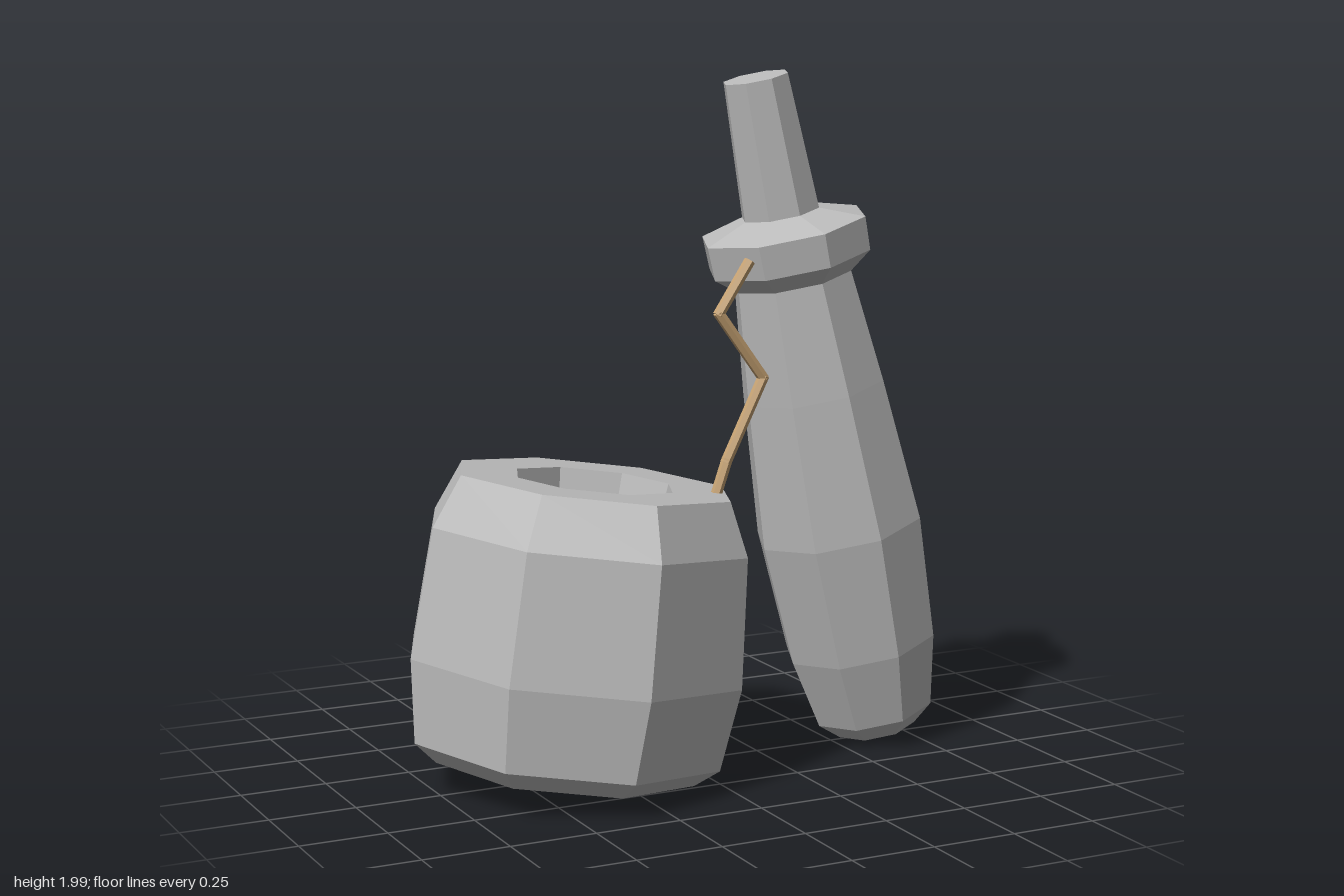
import * as THREE from 'three';

const stone = new THREE.MeshStandardMaterial({ color: 0xbababa });
stone.name = 'grey stone';
const twine = new THREE.MeshStandardMaterial({ color: 0xc8a474 });
twine.name = 'tan twine';

// Faceted mesh: every face gets its own normal
function facet(name, geometry, material) {
  const g = geometry.toNonIndexed();
  g.computeVertexNormals();
  const mesh = new THREE.Mesh(g, material);
  mesh.name = name;
  return mesh;
}

// Eight-sided turned part from [radius, height] pairs, listed bottom to top
function turned(name, profile) {
  const points = profile.map(([r, y]) => new THREE.Vector2(r, y));
  return facet(name, new THREE.LatheGeometry(points, 8), stone);
}

export function createModel() {
  const model = new THREE.Group();
  model.name = 'barrelAndClub';

  // Squat hollow barrel, leaning right
  const barrel = turned('barrel', [
    [0, 0], [0.393, 0], [0.463, 0.055], [0.5, 0.294], [0.474, 0.664],
    [0.406, 0.813], [0.235, 0.813], [0.195, 0.56], [0, 0.56],
  ]);
  barrel.position.set(-0.372, 0.053, 0);
  barrel.rotation.z = -0.122;
  model.add(barrel);

  // Club leaning left: body, collar and grip share one axis
  const club = new THREE.Group();
  club.name = 'club';
  club.add(
    turned('clubBody', [
      [0, 0], [0.123, 0], [0.184, 0.058], [0.23, 0.273], [0.252, 0.641],
      [0.215, 1.07], [0.178, 1.403],
    ]),
    turned('clubCollar', [
      [0.178, 1.403], [0.245, 1.457], [0.248, 1.555], [0.117, 1.597],
    ]),
    turned('clubGrip', [[0.117, 1.597], [0.097, 1.993], [0, 1.993]]),
  );
  club.position.set(0.66, 0.03, -0.013);
  club.rotation.z = 0.211;
  model.add(club);

  // Kinked cord from the barrel rim to the collar
  const cord = new THREE.Group();
  cord.name = 'cord';
  const path = [
    [0.045, 0.81], [0.08, 0.91], [0.195, 1.14], [0.055, 1.33], [0.148, 1.47],
  ].map(([x, y]) => new THREE.Vector3(x, y, 0.13));
  const up = new THREE.Vector3(0, 1, 0);
  for (let i = 0; i < path.length - 1; i++) {
    const along = path[i + 1].clone().sub(path[i]);
    const length = along.length();
    const piece = facet('cordSegment' + (i + 1),
      new THREE.CylinderGeometry(0.016, 0.016, length + 0.012, 6), twine);
    piece.position.copy(path[i]).addScaledVector(along, 0.5);
    piece.quaternion.setFromUnitVectors(up, along.normalize());
    cord.add(piece);
  }
  model.add(cord);

  return model;
}
